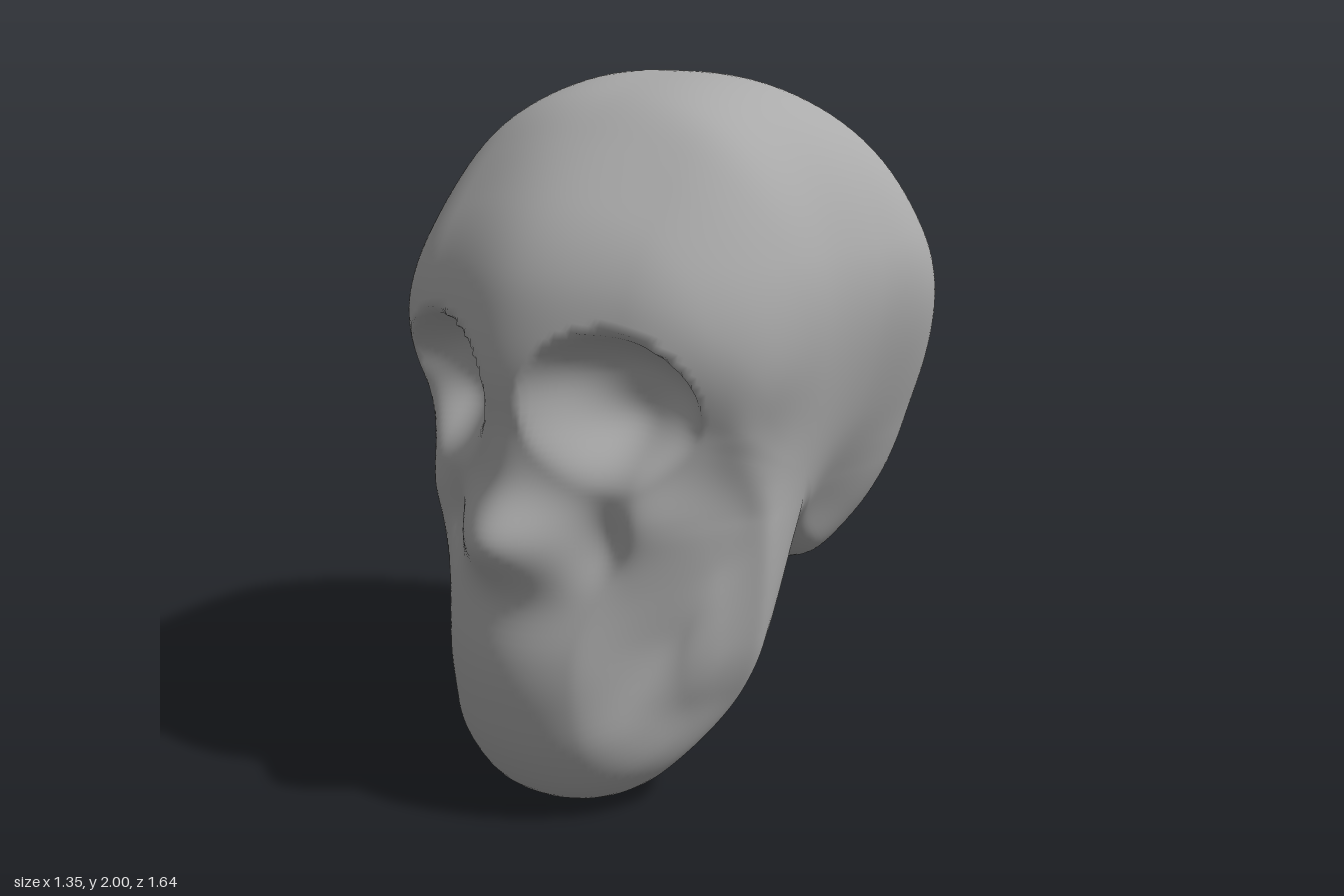
import * as THREE from 'three';
import { mergeVertices } from 'three/addons/utils/BufferGeometryUtils.js';

const { smoothstep, lerp } = THREE.MathUtils;
const CY = 0.95, CZ = 0.1; // centre of the side profile
const POWER = 2.65;        // roundness of the swelling from the midline to the sides

// Midline outline as [z, y], from brow over the crown, nape and jaw to the face
const outline = [
  [0.73, 1.25], [0.715, 1.4], [0.675, 1.53], [0.59, 1.66], [0.4, 1.83], [0.2, 1.95], [-0.08, 2.0],
  [-0.3, 1.96], [-0.5, 1.85], [-0.67, 1.65], [-0.775, 1.43], [-0.82, 1.2], [-0.79, 0.95],
  [-0.72, 0.76], [-0.6, 0.6], [-0.4, 0.49], [-0.25, 0.53], [-0.13, 0.56], [-0.03, 0.52],
  [0, 0.4], [0.06, 0.27], [0.2, 0.13], [0.35, 0.05], [0.5, 0], [0.63, 0.06], [0.72, 0.2],
  [0.75, 0.35], [0.745, 0.5], [0.71, 0.66], [0.69, 0.8], [0.68, 0.95], [0.7, 1.1],
];

// Returns the outline radius for any angle around the profile centre
function makeRadius() {
  const curve = new THREE.CatmullRomCurve3(
    outline.map(([z, y]) => new THREE.Vector3(0, y - CY, z - CZ)), true);
  const table = curve.getPoints(900).slice(0, -1)
    .map(p => ({ a: Math.atan2(p.y, p.z), r: Math.hypot(p.y, p.z) }))
    .sort((p, q) => p.a - q.a);
  const first = table[0], last = table[table.length - 1];
  table.unshift({ a: last.a - 2 * Math.PI, r: last.r });
  table.push({ a: first.a + 2 * Math.PI, r: first.r });
  return angle => {
    let i = 1;
    while (i < table.length - 1 && table[i].a < angle) i++;
    const p = table[i - 1], q = table[i];
    return p.r + (q.r - p.r) * (angle - p.a) / (q.a - p.a || 1);
  };
}

// Soft round bump around zero
const bump = (u, v, su, sv) => Math.exp(-((u / su) ** 2) - (v / sv) ** 2);

// Half width of the head: widest at the upper back, narrow at the chin
function halfWidth(y, z) {
  const back = smoothstep(-z, -0.1, 0.4);
  let width = 0.57 + smoothstep(y, 0.85, 1.55) * (0.1 + 0.075 * back);
  width += 0.1 * smoothstep(-z, 0.15, 0.65) * smoothstep(y, 0.45, 0.95); // full rear
  width -= 0.07 * (1 - smoothstep(y, 0.05, 0.5));
  // tuck under the skull, narrowing rear of the jaw, and a dip at the temple
  width -= 0.11 * bump(y - 0.68, z + 0.14, 0.22, 0.22);
  width -= 0.08 * bump(y - 0.42, z - 0.02, 0.2, 0.15);
  width -= 0.02 * bump(y - 1.08, z - 0.33, 0.14, 0.16);
  return width;
}

// Forward or backward shift of the face at distance x from the midline and height y
function faceRelief(x, y) {
  let dz = -0.05 * smoothstep(x, 0, 0.32);
  // eye sockets: steep under the brow, fading softly into the cheek
  const e = Math.min(1, Math.hypot((x - 0.265) / 0.21, (y - 1.2) / (y < 1.2 ? 0.25 : 0.19)));
  dz -= 0.19 * (1 - lerp(smoothstep(e, 0, 1), e ** 3, smoothstep(y, 1.0, 1.3)));
  // outer rim of the sockets sweeps back
  dz -= 0.05 * bump(x - 0.47, y - 1.12, 0.1, 0.14);
  // nose tip and bridge
  dz += 0.125 * bump(x, y - 0.82, 0.16, 0.12);
  dz += 0.03 * bump(x, y - 1.0, 0.1, 0.14);
  // hollows beside the nose, and cheeks falling back beside the muzzle
  dz -= 0.04 * bump(x - 0.24, y - 0.81, 0.06, 0.1);
  const edge = 0.2 + 0.12 * smoothstep(y, 0.5, 0.9);
  dz -= 0.11 * smoothstep(x, edge, edge + 0.2) * smoothstep(y, 0.08, 0.35) * (1 - smoothstep(y, 0.85, 1.1));
  const slant = x - (0.32 + 0.4 * (y - 0.45));
  dz -= 0.04 * bump(slant, y - 0.48, 0.07, 0.17);
  // cheekbone ridge and muzzle
  dz += 0.03 * bump(x - 0.38, y - 0.9, 0.1, 0.1);
  dz += 0.015 * bump(x, y - 0.5, 0.22, 0.16);
  return dz;
}

function skullGeometry() {
  const sphere = new THREE.SphereGeometry(1, 220, 160);
  sphere.rotateZ(-Math.PI / 2); // poles on the two sides
  sphere.deleteAttribute('uv');
  sphere.deleteAttribute('normal');
  const geometry = mergeVertices(sphere);
  const pos = geometry.attributes.position;
  const radius = makeRadius();
  for (let i = 0; i < pos.count; i++) {
    const dx = pos.getX(i), dy = pos.getY(i), dz = pos.getZ(i);
    const u = Math.hypot(dy, dz);
    const s = (Math.abs(dx) ** POWER + u ** POWER) ** (-1 / POWER);
    const angle = Math.atan2(dy, dz);
    const r = u * s * radius(angle);
    const y = CY + r * Math.sin(angle);
    const z = CZ + r * Math.cos(angle);
    const x = dx * s * halfWidth(y, z);
    pos.setXYZ(i, x, y, z + faceRelief(Math.abs(x), y) * smoothstep(z, 0.2, 0.55));
  }
  geometry.computeVertexNormals();
  return geometry;
}

export function createModel() {
  const group = new THREE.Group();
  group.name = 'skullModel';
  const bone = new THREE.MeshStandardMaterial({ color: 0xaaaaaa });
  bone.name = 'greyBone';
  const skull = new THREE.Mesh(skullGeometry(), bone);
  skull.name = 'skull';
  group.add(skull);
  return group;
}
